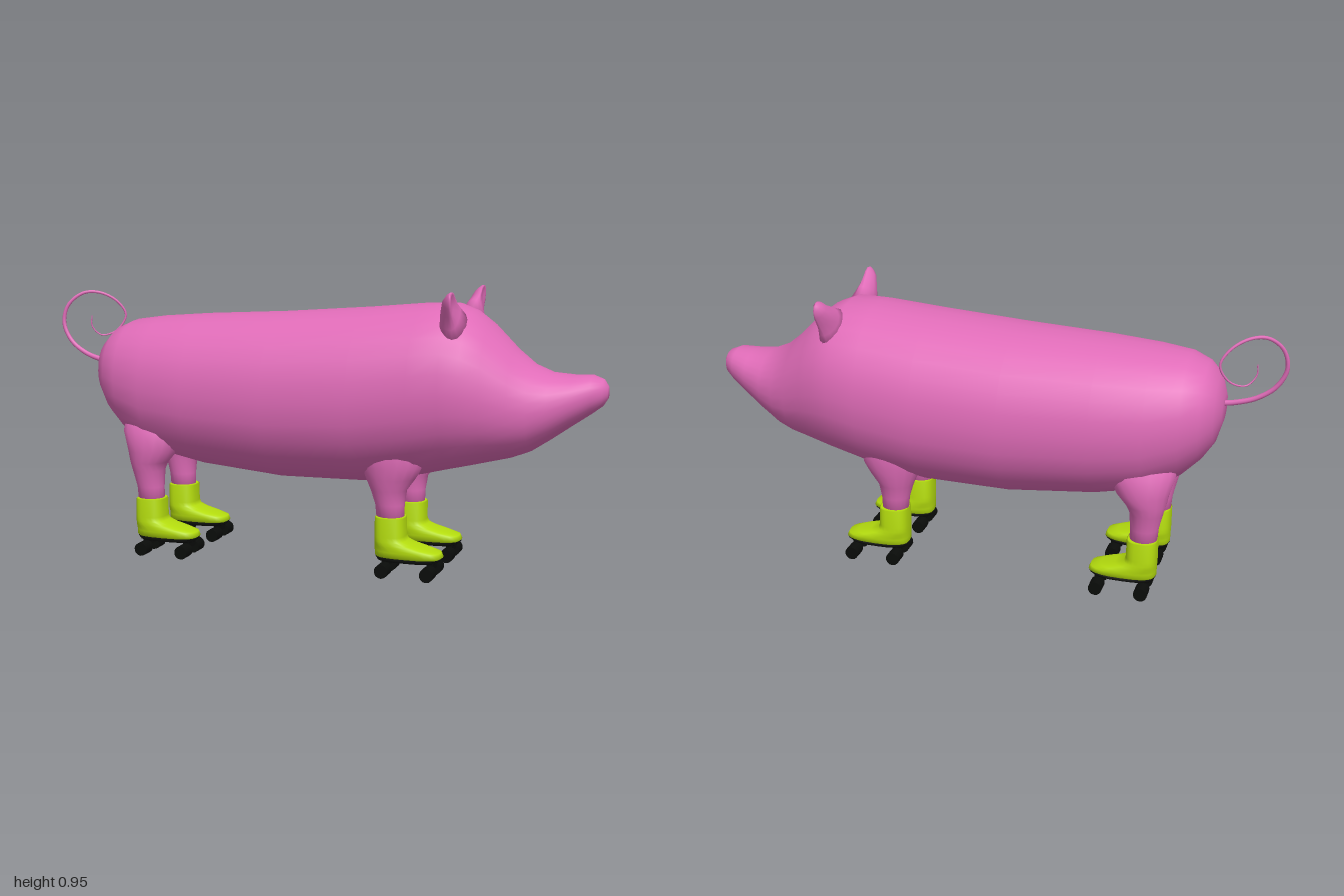
import * as THREE from 'three';

const pink = new THREE.MeshStandardMaterial({ color: 0xe06cb8 });
const lime = new THREE.MeshStandardMaterial({ color: 0xb4dc0e });
const black = new THREE.MeshStandardMaterial({ color: 0x0a0c0a });

// Signed power, used to round or square off an ellipse
const spow = (v, e) => Math.sign(v) * Math.abs(v) ** e;

// Closed ring of points; fn receives the two superellipse coordinates
function ring(sides, power, fn) {
  return Array.from({ length: sides }, (_, i) => {
    const a = (i / sides) * Math.PI * 2;
    return fn(spow(Math.cos(a), 2 / power), spow(Math.sin(a), 2 / power));
  });
}

// Skin a list of rings and close both ends with a fan
function loft(rings) {
  const n = rings[0].length, m = rings.length, pos = rings.flat(2), idx = [];
  for (let r = 0; r < m - 1; r++) {
    for (let j = 0; j < n; j++) {
      const k = (j + 1) % n, a = r * n + j, b = r * n + k;
      idx.push(a, b, a + n, b, b + n, a + n);
    }
  }
  [0, m - 1].forEach((r, end) => {
    const centre = pos.length / 3;
    for (let c = 0; c < 3; c++) pos.push(rings[r].reduce((s, p) => s + p[c], 0) / n);
    for (let j = 0; j < n; j++) {
      const a = r * n + j, b = r * n + (j + 1) % n;
      if (end) idx.push(a, b, centre); else idx.push(b, a, centre);
    }
  });
  const g = new THREE.BufferGeometry();
  g.setAttribute('position', new THREE.Float32BufferAttribute(pos, 3));
  g.setIndex(idx);
  g.computeVertexNormals();
  return g;
}

function part(parent, name, geometry, material, x = 0, y = 0, z = 0) {
  const mesh = new THREE.Mesh(geometry, material);
  mesh.name = name;
  mesh.position.set(x, y, z);
  parent.add(mesh);
  return mesh;
}

// Body and head in one skin: x, underside, top, half width
function bodyGeometry() {
  const sections = [
    [-0.8, 0.6, 0.69, 0.07], [-0.78, 0.53, 0.755, 0.13], [-0.74, 0.47, 0.795, 0.175],
    [-0.68, 0.41, 0.822, 0.21], [-0.57, 0.35, 0.837, 0.243], [-0.4, 0.317, 0.85, 0.27],
    [-0.1, 0.29, 0.865, 0.293], [0.2, 0.294, 0.887, 0.294], [0.4, 0.328, 0.905, 0.282],
    [0.5, 0.353, 0.908, 0.268], [0.56, 0.367, 0.885, 0.252], [0.62, 0.382, 0.84, 0.228],
    [0.7, 0.402, 0.76, 0.192], [0.76, 0.426, 0.712, 0.163], [0.82, 0.466, 0.688, 0.137],
    [0.89, 0.516, 0.683, 0.107], [0.95, 0.558, 0.685, 0.079], [0.985, 0.585, 0.672, 0.052],
    [1, 0.61, 0.65, 0.025],
  ];
  return loft(sections.map(([x, lo, hi, w]) =>
    ring(28, 2.15, (c, s) => [x, (lo + hi) / 2 + c * (hi - lo) / 2, s * w])));
}

// Ear: flat, leaning outwards, with the rims curled forwards
function earGeometry(side) {
  // x, y, z, half width, half thickness, curl
  const sections = [
    [0.52, 0.835, 0.14, 0.08, 0.045, 0], [0.52, 0.872, 0.175, 0.058, 0.032, 0.01],
    [0.522, 0.9, 0.203, 0.042, 0.02, 0.018], [0.525, 0.925, 0.227, 0.034, 0.014, 0.016],
    [0.53, 0.94, 0.24, 0.022, 0.01, 0.008], [0.532, 0.948, 0.246, 0.009, 0.005, 0],
  ];
  const ty = 0.74, tz = 0.67 * side;
  return loft(sections.map(([x, y, z, w, t, curl]) =>
    ring(14, 2, (c, s) => [x + c * t + (s * s - 0.5) * curl, y + s * w * tz, z * side - s * w * ty])));
}

// Upright loft from rows of y, x min, x max, z centre, half depth
const upright = (rows, power, sides = 18) => loft(rows.map(([y, x0, x1, z, d]) =>
  ring(sides, power, (c, s) => [(x0 + x1) / 2 + s * (x1 - x0) / 2, y, z + c * d])));

// Leg with its boot and skate; the ankle sits at x = 0
function addLeg(parent, name, x, side, legRows) {
  const leg = new THREE.Group();
  leg.name = name;
  leg.position.set(x, 0, side * 0.133);
  parent.add(leg);
  part(leg, 'shank', upright(legRows.map(([y, a, b, z, d]) => [y, a, b, z * side, d]), 2), pink);
  part(leg, 'boot', upright([
    [0.062, -0.045, 0.17, 0, 0.05], [0.07, -0.05, 0.182, 0, 0.061], [0.086, -0.05, 0.175, 0, 0.062],
    [0.096, -0.05, 0.14, 0, 0.062], [0.108, -0.05, 0.09, 0, 0.061], [0.12, -0.05, 0.06, 0, 0.06],
    [0.135, -0.05, 0.054, 0, 0.058], [0.197, -0.05, 0.054, 0, 0.053], [0.2, -0.046, 0.05, 0, 0.049],
  ], 2.7, 24), lime);
  part(leg, 'sole', upright([
    [0.05, -0.04, 0.165, 0, 0.046], [0.064, -0.048, 0.18, 0, 0.057],
  ], 2.7, 24), black);
  for (const wx of [-0.01, 0.145]) {
    part(leg, 'truck', new THREE.BoxGeometry(0.022, 0.025, 0.06), black, wx, 0.043, 0);
    for (const s of [1, -1]) {
      const wheel = new THREE.CylinderGeometry(0.0235, 0.0235, 0.052, 14).rotateX(Math.PI / 2);
      part(leg, 'wheel', wheel, black, wx, 0.0235, s * 0.051);
    }
  }
}

// Curly tail: a tube thinning towards its tip
function tailGeometry() {
  const pts = [
    [-0.77, 0.658, 0], [-0.83, 0.667, 0], [-0.9, 0.69, 0], [-0.96, 0.735, 0], [-0.99, 0.8, -0.003],
    [-0.975, 0.865, -0.012], [-0.925, 0.908, -0.038], [-0.87, 0.908, -0.065], [-0.815, 0.875, -0.092],
    [-0.788, 0.825, -0.105], [-0.82, 0.768, -0.09], [-0.87, 0.752, -0.065], [-0.9, 0.785, -0.05],
    [-0.9, 0.823, -0.05],
  ].map(p => new THREE.Vector3(...p));
  const curve = new THREE.CatmullRomCurve3(pts), segs = 80, sides = 8;
  const g = new THREE.TubeGeometry(curve, segs, 0.01, sides);
  const pos = g.attributes.position, v = new THREE.Vector3();
  for (let i = 0; i < pos.count; i++) {
    const t = Math.floor(i / (sides + 1)) / segs, c = curve.getPointAt(t);
    v.fromBufferAttribute(pos, i).sub(c).multiplyScalar(1 - 0.8 * t).add(c);
    pos.setXYZ(i, v.x, v.y, v.z);
  }
  return g;
}

export function createModel() {
  const pig = new THREE.Group();
  pig.name = 'skatingPig';
  part(pig, 'body', bodyGeometry(), pink);
  part(pig, 'tail', tailGeometry(), pink);

  // Leg rows are relative to the ankle: y, x min, x max, z offset, half depth
  const hind = [
    [0.18, -0.046, 0.046, 0, 0.043], [0.24, -0.05, 0.046, 0, 0.048], [0.3, -0.064, 0.05, 0.003, 0.06],
    [0.33, -0.072, 0.065, 0.004, 0.067], [0.37, -0.08, 0.1, 0.004, 0.075], [0.44, -0.1, 0.13, 0, 0.08],
    [0.5, -0.1, 0.13, -0.03, 0.07],
  ];
  const fore = [
    [0.18, -0.046, 0.046, 0, 0.043], [0.24, -0.052, 0.048, 0, 0.048], [0.29, -0.068, 0.056, 0.003, 0.058],
    [0.33, -0.085, 0.085, 0.004, 0.068], [0.37, -0.1, 0.11, 0.004, 0.074], [0.44, -0.12, 0.13, 0.004, 0.08],
    [0.5, -0.1, 0.1, -0.01, 0.07],
  ];
  for (const side of [1, -1]) {
    const label = side > 0 ? 'Right' : 'Left';
    part(pig, 'ear' + label, earGeometry(side), pink);
    addLeg(pig, 'hindLeg' + label, -0.575, side, hind);
    addLeg(pig, 'frontLeg' + label, 0.312, side, fore);
  }
  return pig;
}
